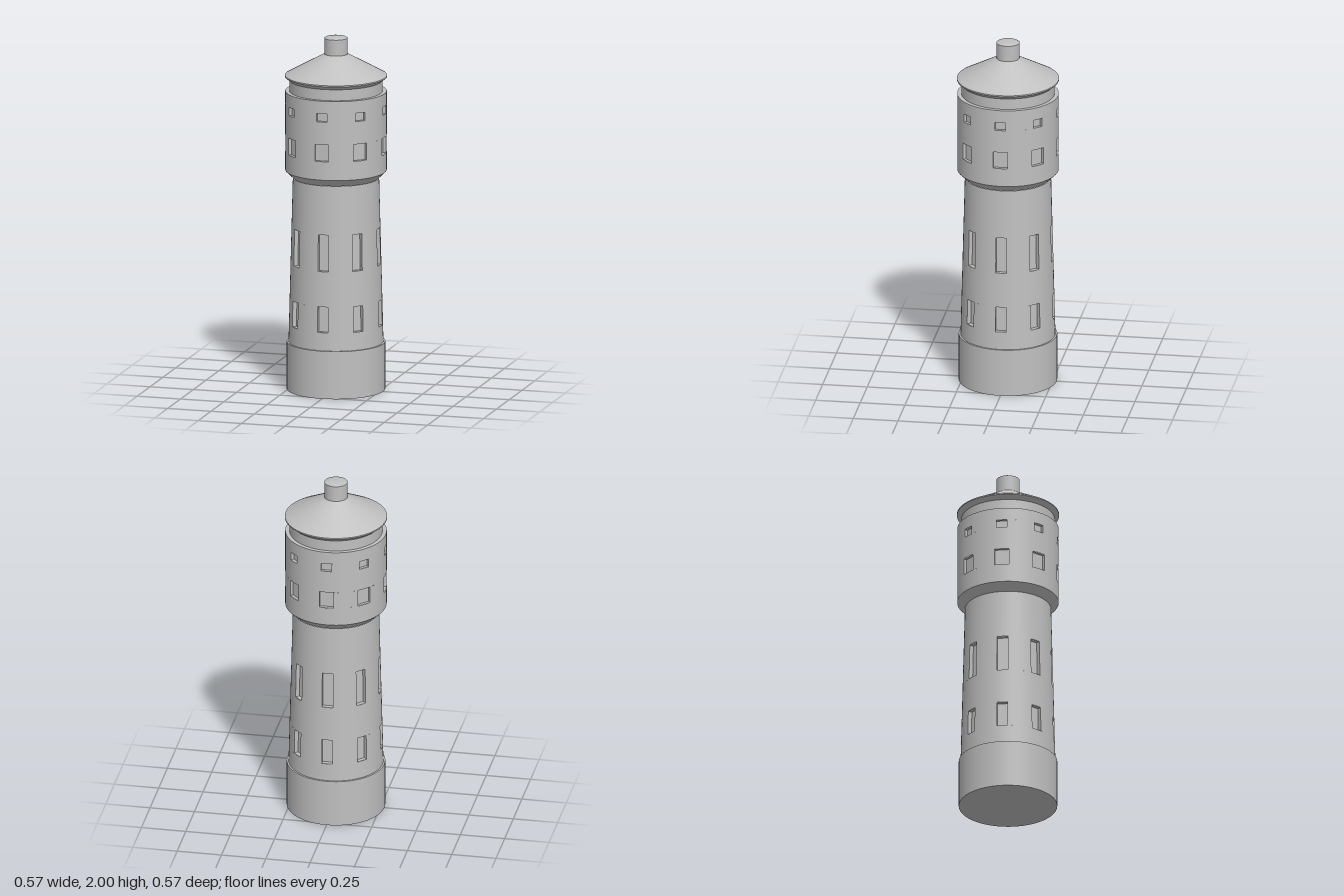
import * as THREE from 'three';

const stone = new THREE.MeshStandardMaterial({ color: 0xc0c0c0 });
stone.name = 'grey stone';
const SIDES = 64, BAYS = 8, BAY = Math.PI * 2 / BAYS;

// Round wall from y0 to y1 with rows of recessed windows, one per bay.
// Each row: { y0, y1, half (half width) }
function windowWall(name, y0, y1, r0, r1, depth, rows) {
  const pos = [], nor = [];
  const radius = y => r0 + (r1 - r0) * (y - y0) / (y1 - y0);
  const slope = (r0 - r1) / (y1 - y0);

  // quad with corners counter-clockwise from outside; flat normals unless given
  function quad(a, b, c, d, normals) {
    const flat = b.clone().sub(a).cross(d.clone().sub(a)).normalize();
    const p = [a, b, c, d], n = normals || [flat, flat, flat, flat];
    for (const i of [0, 1, 2, 0, 2, 3]) {
      pos.push(...p[i].toArray());
      nor.push(...n[i].toArray());
    }
  }
  const onWall = (t, y) => new THREE.Vector3(Math.sin(t) * radius(y), y, Math.cos(t) * radius(y));
  const normal = t => new THREE.Vector3(Math.sin(t), slope, Math.cos(t)).normalize();

  function arc(t0, t1, ya, yb, steps) {
    for (let i = 0; i < steps; i++) {
      const a = t0 + (t1 - t0) * i / steps, b = t0 + (t1 - t0) * (i + 1) / steps;
      const na = normal(a), nb = normal(b);
      quad(onWall(a, ya), onWall(b, ya), onWall(b, yb), onWall(a, yb), [na, nb, nb, na]);
    }
  }

  // window: four reveals and a recessed pane
  function recess(t, row) {
    const turn = new THREE.Vector3(0, 1, 0);
    const corner = (s, y, d) => new THREE.Vector3(s * row.half, y,
      Math.sqrt(radius(y) ** 2 - row.half ** 2) - d).applyAxisAngle(turn, t);
    const ring = d => [corner(-1, row.y0, d), corner(1, row.y0, d), corner(1, row.y1, d), corner(-1, row.y1, d)];
    const outer = ring(0), inner = ring(depth);
    quad(...inner);
    for (let i = 0; i < 4; i++) {
      const j = (i + 1) % 4;
      quad(outer[i], outer[j], inner[j], inner[i]);
    }
  }

  let y = y0;
  for (const row of rows) {
    arc(0, Math.PI * 2, y, row.y0, SIDES);
    const a = Math.asin(row.half / radius((row.y0 + row.y1) / 2));
    for (let k = 0; k < BAYS; k++) {
      recess(k * BAY, row);
      arc(k * BAY + a, (k + 1) * BAY - a, row.y0, row.y1, 6);
    }
    y = row.y1;
  }
  arc(0, Math.PI * 2, y, y1, SIDES);

  const g = new THREE.BufferGeometry();
  g.setAttribute('position', new THREE.Float32BufferAttribute(pos, 3));
  g.setAttribute('normal', new THREE.Float32BufferAttribute(nor, 3));
  const mesh = new THREE.Mesh(g, stone);
  mesh.name = name;
  return mesh;
}

// Round section between two heights
function section(name, y0, y1, r0, r1, open = false, sides = SIDES) {
  const mesh = new THREE.Mesh(new THREE.CylinderGeometry(r1, r0, y1 - y0, sides, 1, open), stone);
  mesh.position.y = (y0 + y1) / 2;
  mesh.name = name;
  return mesh;
}

export function createModel() {
  const tower = new THREE.Group();
  tower.name = 'waterTower';

  // plinth and tapered shaft
  tower.add(section('plinth', 0, 0.27, 0.273, 0.273));
  tower.add(windowWall('shaft', 0.27, 1.2, 0.263, 0.239, 0.025, [
    { y0: 0.372, y1: 0.517, half: 0.03 },
    { y0: 0.716, y1: 0.923, half: 0.03 },
  ]));

  // wider tank drum with its sloped underside and ledge
  tower.add(section('drumCorbel', 1.2, 1.242, 0.237, 0.281, true));
  tower.add(windowWall('drum', 1.242, 1.69, 0.281, 0.281, 0.018, [
    { y0: 1.347, y1: 1.443, half: 0.04 },
    { y0: 1.572, y1: 1.619, half: 0.03 },
  ]));
  const ledge = new THREE.Mesh(new THREE.RingGeometry(0.25, 0.281, SIDES), stone);
  ledge.rotation.x = -Math.PI / 2;
  ledge.position.y = 1.69;
  ledge.name = 'drumLedge';
  tower.add(ledge);

  // neck, flared eaves and conical roof
  tower.add(section('neck', 1.69, 1.752, 0.258, 0.258, true));
  tower.add(section('eavesUnderside', 1.752, 1.773, 0.258, 0.283, true));
  tower.add(section('eavesEdge', 1.773, 1.78, 0.283, 0.283, true));
  tower.add(section('roof', 1.78, 1.9, 0.283, 0.065, true));

  // chimney with a shallow domed cap
  tower.add(section('chimney', 1.88, 1.99, 0.065, 0.065, true, 16));
  const dome = [[0.065, 1.99], [0.055, 1.995], [0.03, 1.999], [0, 2]].map(p => new THREE.Vector2(...p));
  const cap = new THREE.Mesh(new THREE.LatheGeometry(dome, 16), stone);
  cap.name = 'chimneyCap';
  tower.add(cap);

  return tower;
}
